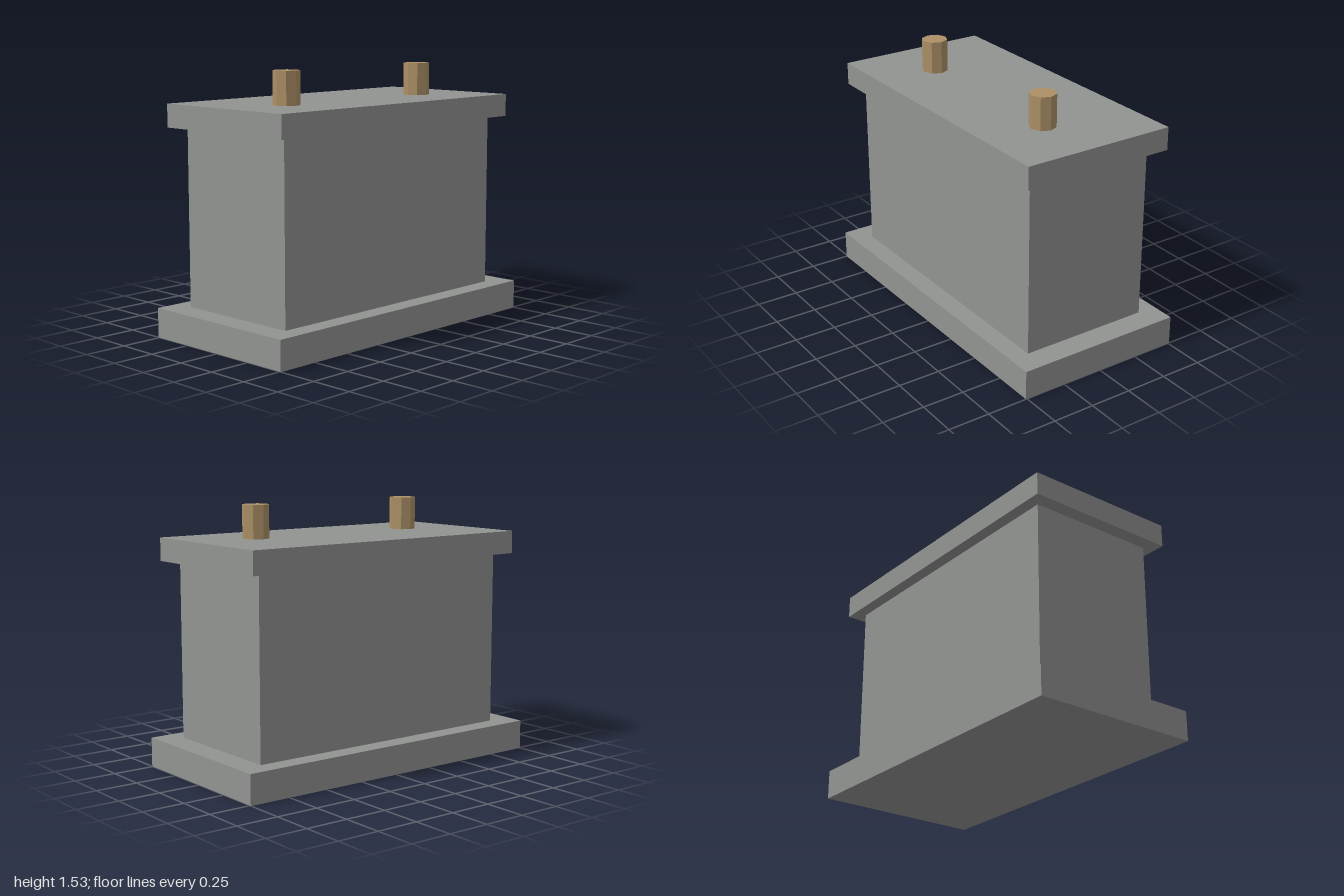
import * as THREE from 'three';

export function createModel() {
  const model = new THREE.Group();
  const stone = new THREE.MeshStandardMaterial({ color: 0x929492, flatShading: true });
  stone.name = 'grey stone';
  const brass = new THREE.MeshStandardMaterial({ color: 0xac9066, flatShading: true });
  brass.name = 'tan brass';

  // Stacked slab from y0 to y1
  const slab = (name, width, depth, y0, y1) => {
    const mesh = new THREE.Mesh(new THREE.BoxGeometry(width, y1 - y0, depth), stone);
    mesh.name = name;
    mesh.position.y = (y0 + y1) / 2;
    model.add(mesh);
  };
  slab('base', 2, 1.015, 0, 0.172);
  slab('body', 1.71, 0.784, 0.172, 1.202);
  slab('lid', 1.88, 0.927, 1.202, 1.336);

  // Pair of eight-sided posts on the lid
  const postGeometry = new THREE.CylinderGeometry(0.077, 0.077, 0.192, 8);
  for (const side of [-1, 1]) {
    const post = new THREE.Mesh(postGeometry, brass);
    post.name = side > 0 ? 'leftPost' : 'rightPost';
    post.position.set(side * 0.543, 1.432, 0.085);
    model.add(post);
  }
  return model;
}
